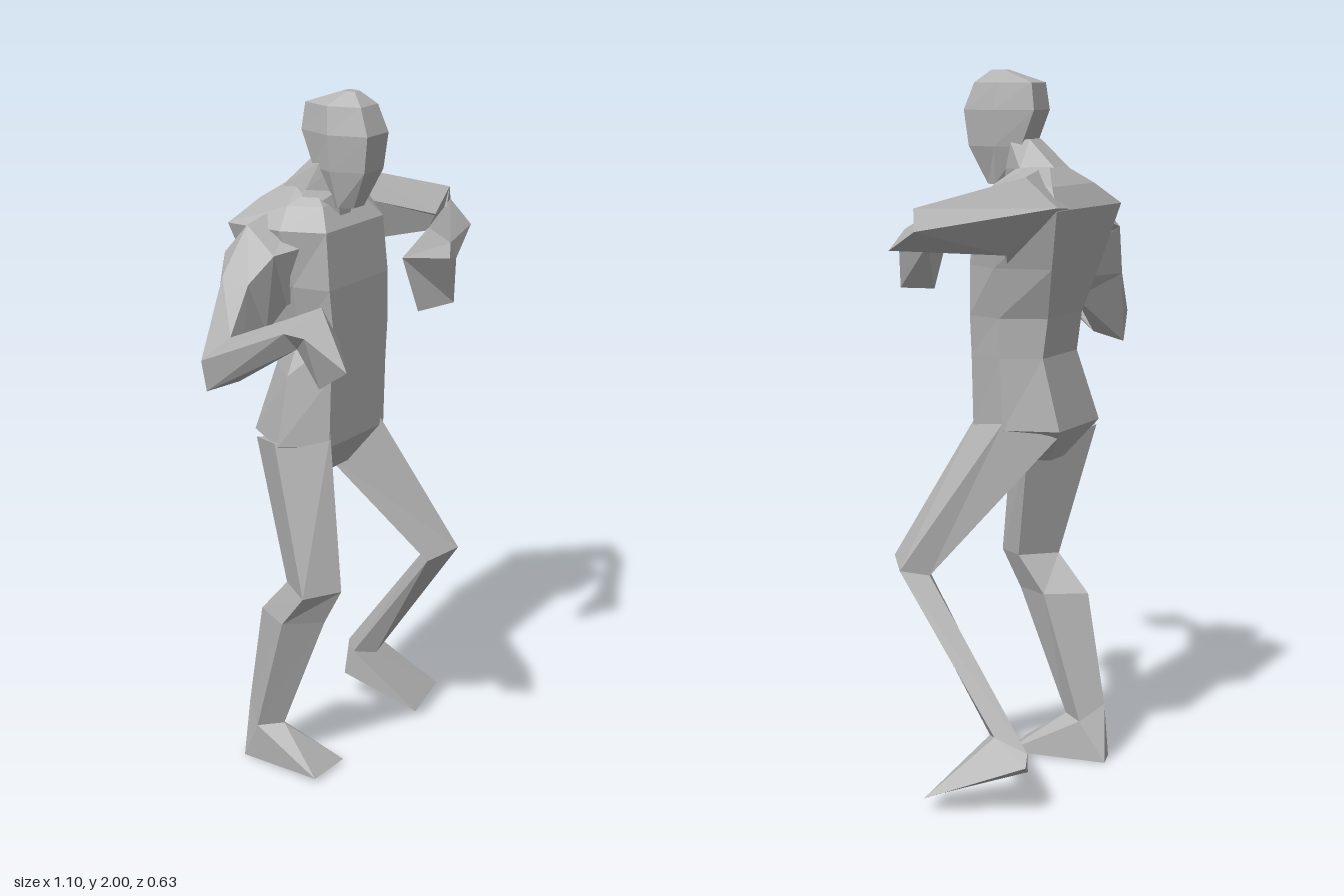
import * as THREE from 'three';

const grey = new THREE.MeshStandardMaterial({ color: 0xb3b3b3, flatShading: true });
grey.name = 'matte grey';

// Skin a stack of equal-sized rings with flat facets and closed ends, facing outward
function loft(name, rings) {
  const tris = [];
  const n = rings[0].length;
  for (let i = 0; i < rings.length - 1; i++) {
    for (let j = 0; j < n; j++) {
      const k = (j + 1) % n;
      const a = rings[i][j], b = rings[i][k], c = rings[i + 1][k], d = rings[i + 1][j];
      tris.push([a, b, c], [a, c, d]);
    }
  }
  const first = rings[0], last = rings[rings.length - 1];
  for (let j = 1; j < n - 1; j++) {
    tris.push([first[0], first[j + 1], first[j]], [last[0], last[j], last[j + 1]]);
  }
  // signed volume tells which way the rings wind
  let volume = 0;
  const v = (p) => new THREE.Vector3(...p);
  for (const [a, b, c] of tris) volume += v(a).dot(v(b).cross(v(c)));
  if (volume < 0) tris.forEach((t) => t.reverse());

  const geometry = new THREE.BufferGeometry();
  geometry.setAttribute('position', new THREE.Float32BufferAttribute(tris.flat(2), 3));
  geometry.computeVertexNormals();
  const mesh = new THREE.Mesh(geometry, grey);
  mesh.name = name;
  return mesh;
}

// Six-sided level ring: front pair, side pair and back pair, each as right x, left x, z
const hexRing = ([y, fr, fl, zf, sr, sl, zs, br, bl, zb]) =>
  [[fr, y, zf], [fl, y, zf], [sl, y, zs], [bl, y, zb], [br, y, zb], [sr, y, zs]];

// Symmetric ring about the head's middle: half widths and depths
const headX = -0.033;
const evenRing = ([y, f, zf, s, zs, b, zb]) =>
  hexRing([y, headX - f, headX + f, zf, headX - s, headX + s, zs, headX - b, headX + b, zb]);

export function createModel() {
  const figure = new THREE.Group();
  figure.name = 'figure';

  // Torso, crotch to neck base
  figure.add(loft('torso', [
    [0.92, -0.06, 0.03, -0.06, -0.07, 0.04, -0.12, -0.06, 0.03, -0.2],
    [1.02, -0.155, 0.11, 0, -0.235, 0.165, -0.12, -0.14, 0.12, -0.272],
    [1.22, -0.145, 0.12, 0, -0.2, 0.165, -0.11, -0.1, 0.12, -0.22],
    [1.33, -0.13, 0.13, 0, -0.14, 0.17, -0.11, -0.1, 0.12, -0.235],
    [1.47, -0.15, 0.13, 0, -0.17, 0.2, -0.11, -0.15, 0.17, -0.27],
    [1.63, -0.15, 0.12, -0.01, -0.2, 0.23, -0.13, -0.2, 0.22, -0.308],
    [1.69, -0.11, 0.08, -0.05, -0.15, 0.2, -0.14, -0.11, 0.16, -0.265],
    [1.735, -0.08, 0.03, -0.1, -0.09, 0.06, -0.15, -0.06, 0.05, -0.205],
  ].map(hexRing)));

  figure.add(loft('neck', [
    [1.64, 0.02, -0.03, 0.11, -0.14, 0.06, -0.25],
    [1.73, 0.04, -0.03, 0.075, -0.11, 0.045, -0.205],
    [1.81, 0.04, -0.02, 0.06, -0.07, 0.035, -0.12],
  ].map(evenRing)));

  figure.add(loft('head', [
    [1.685, 0.025, 0.015, 0.05, -0.02, 0.035, -0.04],
    [1.79, 0.045, 0.065, 0.075, -0.03, 0.05, -0.1],
    [1.89, 0.05, 0.078, 0.083, -0.03, 0.05, -0.14],
    [1.965, 0.04, 0.05, 0.07, -0.04, 0.045, -0.13],
    [2.0, 0.012, 0.01, 0.02, -0.01, 0.015, -0.03],
  ].map(evenRing)));

  // Left arm, folded across the chest: top, inside, bottom, outside of each ring
  const leftWrist = [[0.155, 1.605, 0.12], [0.15, 1.525, 0.12], [0.19, 1.52, 0.19], [0.178, 1.565, 0.178]];
  figure.add(loft('leftArm', [
    [[0.07, 1.73, -0.18], [0.1, 1.6, -0.03], [0.16, 1.46, -0.13], [0.1, 1.63, -0.305]],
    [[0.25, 1.72, -0.23], [0.25, 1.63, -0.13], [0.24, 1.51, -0.17], [0.235, 1.64, -0.317]],
    [[0.48, 1.645, -0.02], [0.42, 1.57, 0.005], [0.505, 1.535, 0.04], [0.548, 1.59, -0.06]],
    leftWrist,
  ]));
  figure.add(loft('leftHand', [
    leftWrist,
    [[0.01, 1.55, 0.13], [0.06, 1.39, 0.15], [0.165, 1.4, 0.2], [0.08, 1.55, 0.24]],
  ]));

  // Right arm, elbow down and forearm forward: outer, front, inner, back
  const rightWrist = [[-0.49, 1.45, 0.1], [-0.46, 1.485, 0.1], [-0.43, 1.44, 0.1], [-0.46, 1.405, 0.12]];
  const rightTip = [-0.515, 1.39, 0.317];
  figure.add(loft('rightArm', [
    [[-0.06, 1.7, -0.17], [-0.08, 1.6, -0.03], [-0.1, 1.44, -0.1], [-0.06, 1.6, -0.3]],
    [[-0.24, 1.645, -0.21], [-0.24, 1.57, -0.12], [-0.16, 1.41, -0.14], [-0.245, 1.56, -0.285]],
    [[-0.32, 1.515, -0.235], [-0.31, 1.5, -0.155], [-0.24, 1.35, -0.15], [-0.31, 1.42, -0.265]],
    [[-0.42, 1.3, -0.235], [-0.385, 1.37, -0.16], [-0.355, 1.24, -0.155], [-0.405, 1.21, -0.23]],
    rightWrist,
  ]));
  figure.add(loft('rightHand', [
    rightWrist,
    [[-0.55, 1.47, 0.21], [-0.475, 1.535, 0.21], [-0.432, 1.44, 0.235], [-0.5, 1.325, 0.22]],
    [rightTip, rightTip, rightTip, rightTip],
  ]));

  // Legs: front, outer, back, inner of each ring
  const leftAnkle = [[0.28, 0.185, -0.14], [0.35, 0.205, -0.19], [0.34, 0.17, -0.285], [0.272, 0.17, -0.22]];
  figure.add(loft('leftLeg', [
    [[0.09, 1.06, -0.01], [0.165, 1.04, -0.12], [0.11, 1.0, -0.26], [-0.02, 0.93, -0.1]],
    [[0.21, 0.645, 0.2], [0.287, 0.62, 0.14], [0.24, 0.605, 0.07], [0.137, 0.61, 0.14]],
    leftAnkle,
  ]));
  figure.add(loft('leftFoot', [
    leftAnkle,
    [[0.31, 0.005, -0.01], [0.46, 0.04, -0.03], [0.37, 0.14, -0.295], [0.265, 0.09, -0.25]],
  ]));

  const rightAnkle = [[-0.17, 0.125, -0.16], [-0.222, 0.12, -0.22], [-0.18, 0.165, -0.28], [-0.135, 0.115, -0.22]];
  figure.add(loft('rightLeg', [
    [[-0.15, 1.06, 0], [-0.237, 1.03, -0.13], [-0.15, 1.0, -0.26], [-0.03, 0.93, -0.1]],
    [[-0.17, 0.6, 0.05], [-0.26, 0.59, -0.02], [-0.2, 0.6, -0.12], [-0.115, 0.6, -0.03]],
    [[-0.17, 0.49, -0.01], [-0.253, 0.49, -0.1], [-0.19, 0.49, -0.22], [-0.12, 0.49, -0.11]],
    rightAnkle,
  ]));
  figure.add(loft('rightFoot', [
    rightAnkle,
    [[-0.08, 0.01, -0.01], [-0.235, 0.015, 0], [-0.21, 0, -0.28], [-0.14, 0, -0.3]],
  ]));

  return figure;
}
